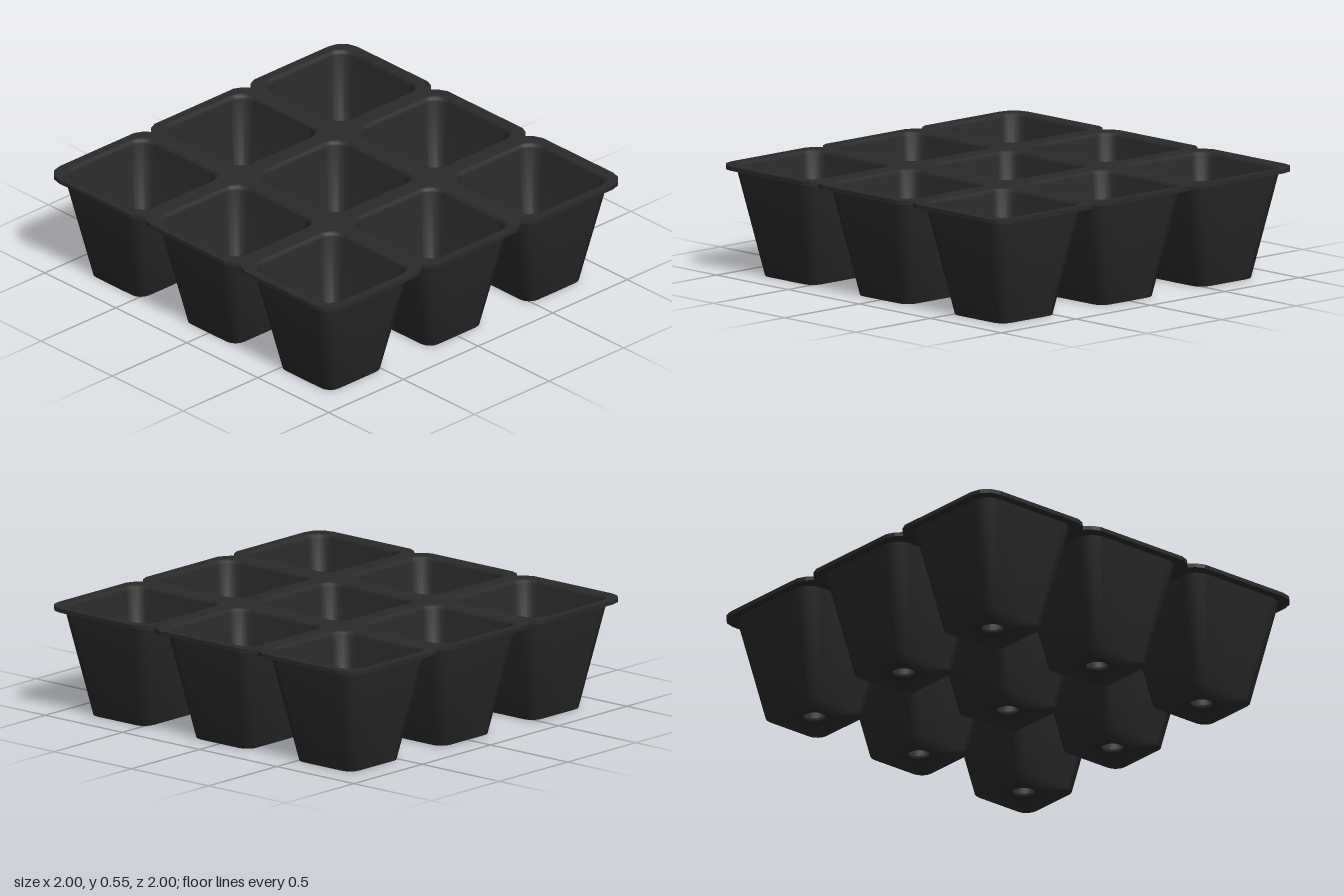
import * as THREE from 'three';

const HEIGHT = 0.55, RIM = 0.02, PITCH = 2 / 3, CORNER_STEPS = 4;

// Points round a square with rounded corners
function roundedSquare(half, radius) {
  const points = [], inset = half - radius;
  for (let corner = 0; corner < 4; corner++) {
    const mid = (corner + 0.5) * Math.PI / 2;
    const cx = Math.sign(Math.cos(mid)) * inset, cy = Math.sign(Math.sin(mid)) * inset;
    for (let s = 0; s <= CORNER_STEPS; s++) {
      const a = (corner + s / CORNER_STEPS) * Math.PI / 2;
      points.push(new THREE.Vector2(cx + Math.cos(a) * radius, cy + Math.sin(a) * radius));
    }
  }
  return points;
}

// Skin through rounded squares given as [half width, corner radius, y]
function loft(sections) {
  const positions = [], index = [], n = 4 * (CORNER_STEPS + 1);
  for (const [half, radius, y] of sections) {
    for (const p of roundedSquare(half, radius)) positions.push(p.x, y, p.y);
  }
  for (let j = 0; j < sections.length - 1; j++) {
    for (let i = 0; i < n; i++) {
      const a = j * n + i, b = j * n + (i + 1) % n;
      index.push(a, b, a + n, b, b + n, a + n);
    }
  }
  const geometry = new THREE.BufferGeometry();
  geometry.setAttribute('position', new THREE.Float32BufferAttribute(positions, 3));
  geometry.setIndex(index);
  geometry.computeVertexNormals();
  return geometry;
}

// Scalloped outline of the tray: one side, turned four times
function trayOutline() {
  const side = [[-0.95, 0.013], [-0.9, 0]];
  for (const x of [-PITCH / 2, PITCH / 2]) {
    side.push([x - 0.07, 0], [x - 0.03, 0.018], [x, 0.048], [x + 0.03, 0.018], [x + 0.07, 0]);
  }
  side.push([0.9, 0], [0.95, 0.013]);
  const points = [];
  for (let k = 0; k < 4; k++) {
    for (const [x, depth] of side) {
      points.push(new THREE.Vector2(x, depth - 1).rotateAround(new THREE.Vector2(), k * Math.PI / 2));
    }
    points.push(new THREE.Vector2(0.987, -0.95).rotateAround(new THREE.Vector2(), k * Math.PI / 2));
  }
  return points;
}

export function createModel() {
  const group = new THREE.Group();
  group.name = 'seedlingTray';
  const plastic = new THREE.MeshStandardMaterial({ color: 0x2a2a2a });
  plastic.name = 'blackPlastic';

  // Down the outer wall, through the drain hole, up the inner wall
  const cellGeometry = loft([
    [0.29, 0.085, HEIGHT - RIM],
    [0.185, 0.06, 0],
    [0.055, 0.055, 0],
    [0.055, 0.055, 0.02],
    [0.17, 0.055, 0.02],
    [0.272, 0.08, HEIGHT - 0.02],
    [0.278, 0.082, HEIGHT - 0.007],
    [0.29, 0.085, HEIGHT],
  ]);

  const rimShape = new THREE.Shape(trayOutline());
  for (let row = -1; row <= 1; row++) {
    for (let column = -1; column <= 1; column++) {
      const x = column * PITCH, z = row * PITCH;
      const cell = new THREE.Mesh(cellGeometry, plastic);
      cell.name = 'cell';
      cell.position.set(x, 0, z);
      group.add(cell);
      const opening = roundedSquare(0.29, 0.085).map(p => p.add(new THREE.Vector2(x, z)));
      rimShape.holes.push(new THREE.Path(opening.reverse()));
    }
  }

  // Flat rim joining the cells
  const rimGeometry = new THREE.ExtrudeGeometry(rimShape, { depth: RIM, bevelEnabled: false });
  rimGeometry.rotateX(Math.PI / 2).translate(0, HEIGHT, 0);
  const rim = new THREE.Mesh(rimGeometry, plastic);
  rim.name = 'rim';
  group.add(rim);
  return group;
}
